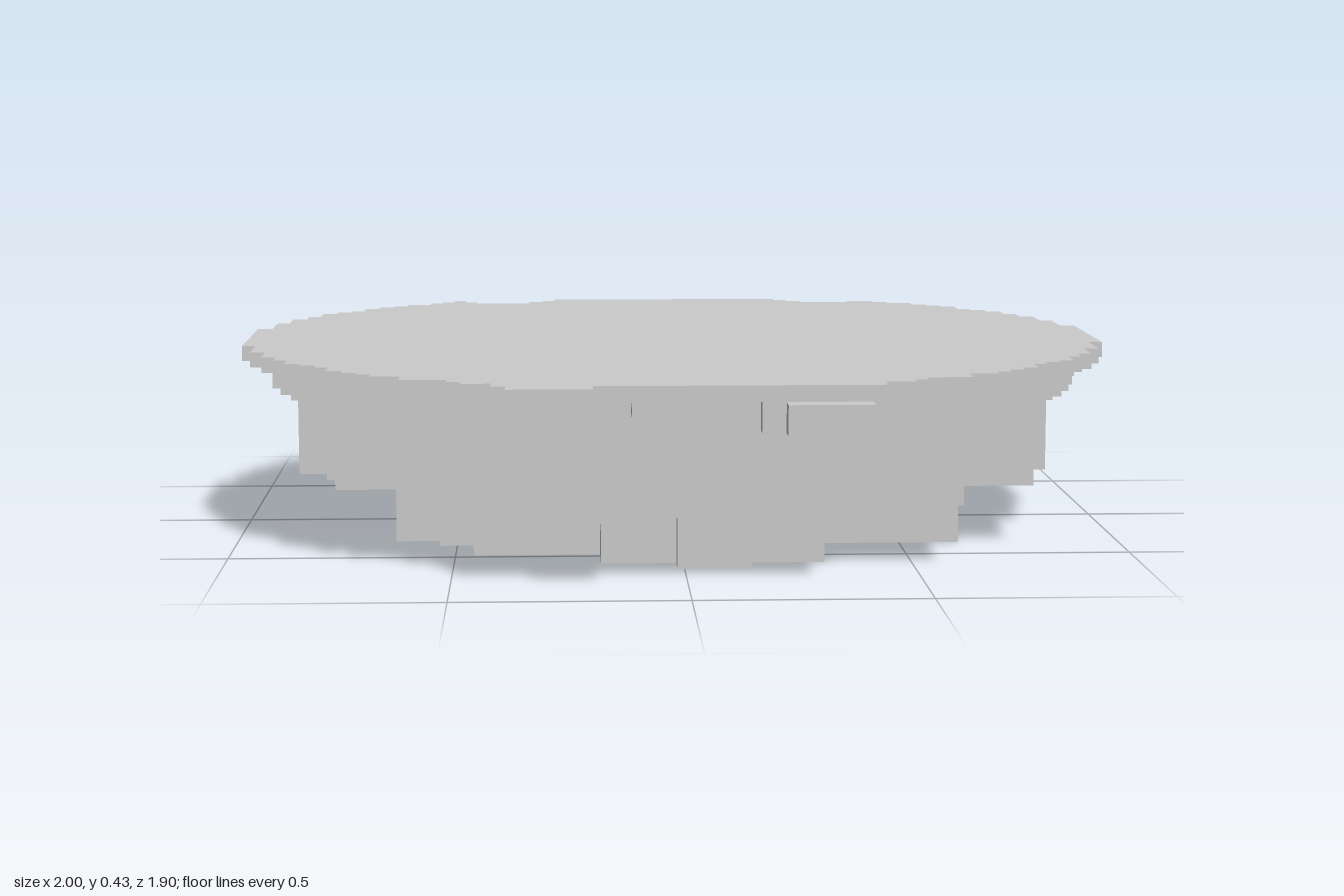
import * as THREE from 'three';

const material = new THREE.MeshStandardMaterial({ color: 0xcccccc, flatShading: true });

// Extrude a plan outline of [x, z] points between two heights
function slab(name, points, y0, y1) {
  const shape = new THREE.Shape(points.map(([x, z]) => new THREE.Vector2(x, -z)));
  const geometry = new THREE.ExtrudeGeometry(shape, { depth: y1 - y0, bevelEnabled: false });
  geometry.rotateX(-Math.PI / 2).translate(0, y0, 0);
  const mesh = new THREE.Mesh(geometry, material);
  mesh.name = name;
  return mesh;
}

// Box given by its limits
function block(name, x0, x1, y0, y1, z0, z1) {
  const mesh = new THREE.Mesh(new THREE.BoxGeometry(x1 - x0, y1 - y0, z1 - z0), material);
  mesh.position.set((x0 + x1) / 2, (y0 + y1) / 2, (z0 + z1) / 2);
  mesh.name = name;
  return mesh;
}

// Mirrored staircase outline: rows of [half width, z where the row ends], from back to front
function steppedOutline(zStart, rows) {
  const right = [];
  let z = zStart;
  for (const [x, zEnd] of rows) {
    right.push([x, z], [x, zEnd]);
    z = zEnd;
  }
  return [...right, ...right.map(([x, zz]) => [-x, zz]).reverse()];
}

export function createModel() {
  const model = new THREE.Group();
  model.name = 'steppedPlatform';
  const top = 0.43, rim = 0.395, ledge = 0.33, base = 0.135;

  // Thin top plate with a finely stepped edge
  const plateRows = [
    [0.605, -0.82], [0.665, -0.785], [0.70, -0.755], [0.735, -0.72], [0.77, -0.655],
    [0.80, -0.625], [0.835, -0.59], [0.87, -0.525], [0.90, -0.46], [0.935, -0.365],
    [0.965, -0.235], [1.0, 0.13], [0.968, 0.26], [0.933, 0.36], [0.90, 0.42],
    [0.87, 0.49], [0.835, 0.52], [0.80, 0.555], [0.77, 0.62], [0.735, 0.655],
    [0.70, 0.685], [0.67, 0.72], [0.605, 0.78], [0.505, 0.815], [0.475, 0.85], [0.41, 0.9],
  ];
  const plate = steppedOutline(-0.855, plateRows);
  model.add(slab('topPlate', plate, rim, top));
  model.add(block('plateFrontTab', -0.38, -0.2, rim, top, 0.9, 0.95));
  model.add(block('plateBackTooth', 0.505, 0.57, rim, top, -0.885, -0.855));
  model.add(block('plateBackTooth', -0.575, -0.485, rim, top, -0.885, -0.855));
  model.add(block('plateBackTooth', -0.545, -0.515, rim, top, -0.92, -0.885));

  // Back extension, through plate and rim
  const backRows = [[0.295, -0.92], [0.325, -0.885], [0.36, -0.8]];
  const back = steppedOutline(-0.95, backRows).map(([x, z]) => [x + 0.015, z]);
  model.add(slab('backExtension', back, ledge, top));

  // Rim below the plate, set in from its edge
  model.add(slab('rim', plate.map(([x, z]) => [x * 0.932, z * 0.95]), ledge, rim));
  for (const side of [-1, 1]) {
    model.add(block('frontRimBlock', side * 0.29 - 0.09, side * 0.29 + 0.09, ledge, rim, 0.8, 0.95));
    model.add(block('frontRimShoulder', side * 0.175 - 0.025, side * 0.175 + 0.025, ledge, rim, 0.8, 0.9));
  }
  model.add(block('frontRimLip', -0.12, 0.11, 0.365, rim, 0.85, 0.9));

  // Coarse middle layer
  model.add(slab('middleLayer', [
    [-0.2, -0.92], [0.08, -0.92], [0.08, -0.815], [0.48, -0.815], [0.48, -0.72], [0.53, -0.72],
    [0.53, -0.585], [0.605, -0.585], [0.605, -0.49], [0.72, -0.49], [0.72, -0.325], [0.8, -0.325],
    [0.8, -0.06], [0.865, -0.06], [0.865, 0.165], [0.8, 0.165], [0.8, 0.395], [0.605, 0.395],
    [0.605, 0.66], [0.31, 0.66], [0.31, 0.79], [-0.15, 0.79], [-0.15, 0.855], [-0.28, 0.855],
    [-0.28, 0.6], [-0.61, 0.6], [-0.61, 0.395], [-0.77, 0.395], [-0.77, 0.25], [-0.8, 0.25],
    [-0.8, 0.165], [-0.87, 0.165], [-0.87, -0.325], [-0.8, -0.325], [-0.8, -0.49], [-0.54, -0.49],
    [-0.54, -0.72], [-0.2, -0.72],
  ], base, ledge));

  // Irregular bottom layer
  model.add(slab('bottomLayer', [
    [-0.08, -0.625], [0.035, -0.625], [0.035, -0.39], [0.5, -0.39], [0.5, 0.035],
    [0.635, 0.035], [0.635, 0.36], [0.31, 0.36], [0.31, 0.59], [0.145, 0.59], [0.145, 0.66],
    [-0.015, 0.66], [-0.015, 0.59], [-0.18, 0.59], [-0.18, 0.48], [-0.46, 0.48], [-0.46, 0.36],
    [-0.54, 0.36], [-0.54, 0.3], [-0.64, 0.3], [-0.64, -0.2], [-0.54, -0.2], [-0.54, -0.39],
    [-0.43, -0.39], [-0.43, -0.325], [-0.08, -0.325],
  ], 0, base));

  return model;
}
